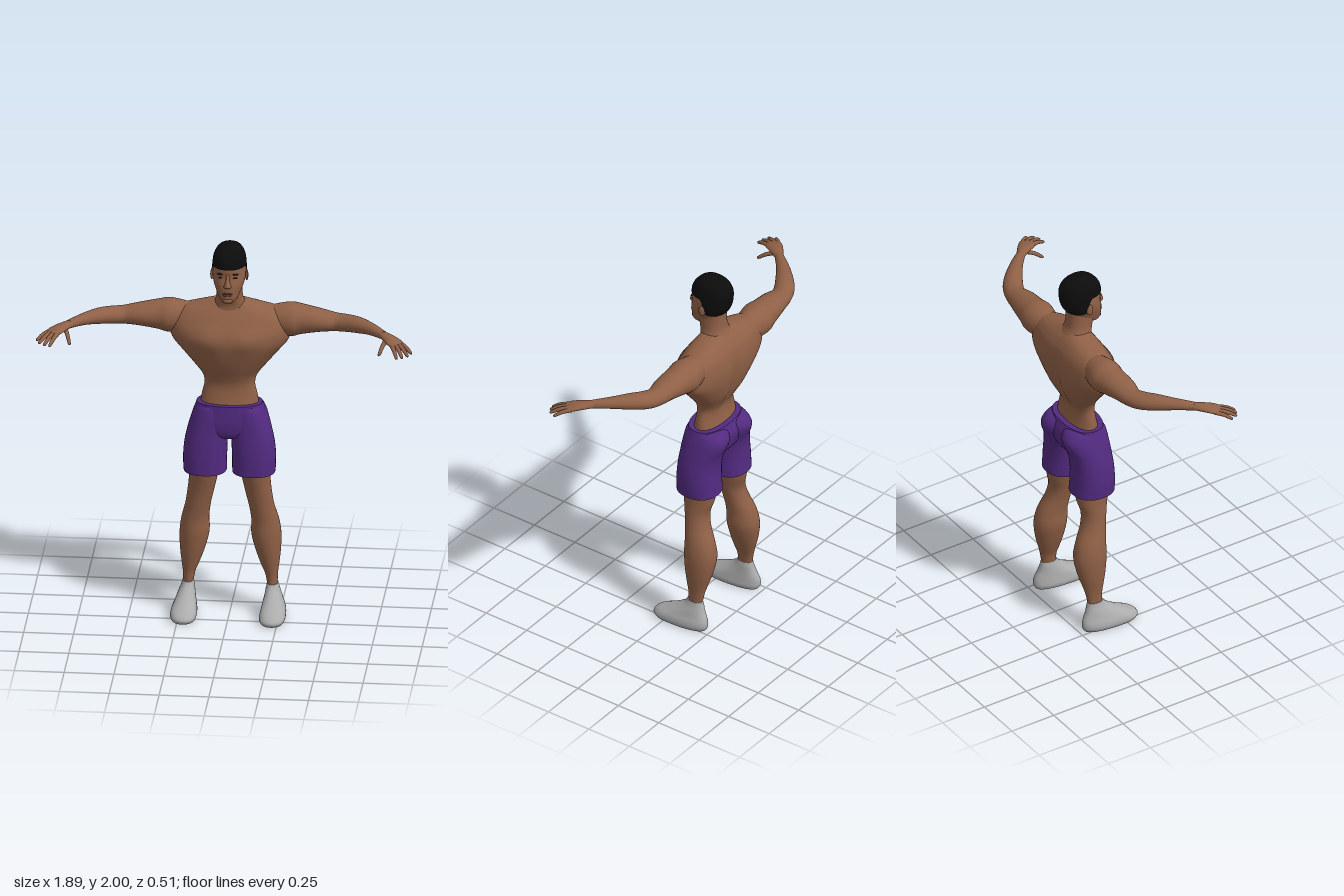
import * as THREE from 'three';

const mat = (name, color) => {
  const m = new THREE.MeshStandardMaterial({ color });
  m.name = name;
  return m;
};

// Smooth interpolation through rows of numbers, n steps per span
function spline(rows, n = 4) {
  const out = [];
  for (let i = 0; i < rows.length - 1; i++) {
    const a = rows[Math.max(i - 1, 0)], b = rows[i], c = rows[i + 1], d = rows[Math.min(i + 2, rows.length - 1)];
    for (let k = 0; k < n; k++) {
      const t = k / n;
      out.push(b.map((v, j) => v + 0.5 * t * (c[j] - a[j] + t * (2 * a[j] - 5 * v + 4 * c[j] - d[j]
        + t * (3 * (v - c[j]) + d[j] - a[j])))));
    }
  }
  out.push(rows[rows.length - 1]);
  return out;
}

// Skin a list of rings (arrays of [x, y, z]) and cap both ends
function loft(rings) {
  const n = rings[0].length, pos = rings.flat(2), idx = [];
  for (let i = 0; i < rings.length - 1; i++) {
    for (let j = 0; j < n; j++) {
      const a = i * n + j, b = i * n + (j + 1) % n;
      idx.push(a, a + n, b, b, a + n, b + n);
    }
  }
  [[rings[0], false], [rings[rings.length - 1], true]].forEach(([ring, last]) => {
    const s = pos.length / 3;
    pos.push(...ring.flat());
    for (let k = 0; k < 3; k++) pos.push(ring.reduce((t, p) => t + p[k], 0) / n);
    for (let j = 0; j < n; j++) {
      const a = s + j, b = s + (j + 1) % n;
      idx.push(s + n, ...(last ? [b, a] : [a, b]));
    }
  });
  const g = new THREE.BufferGeometry();
  g.setAttribute('position', new THREE.Float32BufferAttribute(pos, 3));
  g.setIndex(idx);
  g.computeVertexNormals();
  return g;
}

const angles = (n) => Array.from({ length: n }, (_, j) => (j / n) * Math.PI * 2);
const pw = (v, e) => Math.sign(v) * Math.abs(v) ** e;

// Point on a horizontal section; row = [y, centre x, half width, front z, back z, widest z]
function sectionPoint([y, cx, hw, zf, zb, zs], a, e) {
  const s = pw(Math.sin(a), e);
  return [cx + hw * pw(Math.cos(a), e), y, zs + s * (s > 0 ? zf - zs : zs - zb)];
}
const upright = (rows, e = 0.9, shape = (p) => p, n = 36) =>
  loft(spline(rows).map((r) => angles(n).map((a) => shape(sectionPoint(r, a, e)))));

// Limb along a path; row = [x, y, z, horizontal radius, vertical radius]
function limb(rows, n = 20) {
  const rs = spline(rows), up = new THREE.Vector3(0, 1, 0);
  const at = (i) => new THREE.Vector3(...rs[Math.min(Math.max(i, 0), rs.length - 1)].slice(0, 3));
  return loft(rs.map((r, i) => {
    const t = at(i + 1).sub(at(i - 1)).normalize();
    const h = t.clone().cross(up).normalize(), v = h.clone().cross(t);
    return angles(n).map((a) => at(i).addScaledVector(h, Math.cos(a) * r[3])
      .addScaledVector(v, Math.sin(a) * r[4]).toArray());
  }));
}

function mirrored(geo) {
  const g = geo.clone().scale(-1, 1, 1), ix = g.index.array;
  for (let i = 0; i < ix.length; i += 3) [ix[i], ix[i + 1]] = [ix[i + 1], ix[i]];
  g.computeVertexNormals();
  return g;
}

export function createModel() {
  const model = new THREE.Group();
  model.name = 'athlete';
  const skin = mat('skin', 0x8f6046), purple = mat('purple cloth', 0x522a80), white = mat('sock white', 0xacacac);
  const black = mat('hair black', 0x0c0c0c), lip = mat('lip brown', 0x6b4032), dark = mat('eye dark', 0x2c1c16);
  const add = (name, geo, m) => {
    const mesh = new THREE.Mesh(geo, m);
    mesh.name = name;
    model.add(mesh);
  };
  const pair = (name, geo, m) => {
    add(name + 'Left', geo, m);
    add(name + 'Right', mirrored(geo), m);
  };
  const blob = (x, y, z, rx, ry, rz) => new THREE.SphereGeometry(1, 16, 10).scale(rx, ry, rz).translate(x, y, z);
  const bell = (v, w) => Math.exp(-((v / w) ** 2));

  // Torso with chest muscles and a spine groove
  add('torso', upright([
    [1.1, 0, 0.15, -0.035, -0.195, -0.12], [1.18, 0, 0.14, -0.055, -0.175, -0.12],
    [1.24, 0, 0.127, -0.06, -0.175, -0.12], [1.29, 0, 0.138, -0.045, -0.2, -0.13],
    [1.35, 0, 0.185, -0.018, -0.23, -0.14], [1.42, 0, 0.245, 0.008, -0.25, -0.15],
    [1.48, 0, 0.295, 0.02, -0.258, -0.16], [1.54, 0, 0.31, 0.012, -0.257, -0.16],
    [1.6, 0, 0.3, -0.02, -0.245, -0.16], [1.64, 0, 0.25, -0.045, -0.225, -0.155],
    [1.662, 0, 0.185, -0.06, -0.21, -0.145], [1.69, 0, 0.08, -0.075, -0.185, -0.13],
  ], 0.92, ([x, y, z]) => {
    if (z > -0.12) z += 0.014 * bell(Math.abs(x) - 0.09, 0.07) * bell(y - 1.51, 0.05);
    else z += 0.018 * bell(x, 0.035) * bell(y - 1.42, 0.16);
    return [x, y, z];
  }, 48), skin);
  add('neck', upright([
    [1.62, 0, 0.1, -0.05, -0.215, -0.13], [1.67, 0, 0.082, -0.055, -0.2, -0.12],
    [1.71, 0, 0.068, -0.045, -0.18, -0.11], [1.76, 0, 0.064, -0.035, -0.175, -0.1],
    [1.82, 0, 0.064, -0.035, -0.175, -0.1],
  ]), skin);

  // Head
  const skull = [
    [1.712, 0, 0.025, -0.005, -0.05, -0.025], [1.73, 0, 0.045, 0.01, -0.09, -0.05],
    [1.77, 0, 0.064, 0.013, -0.14, -0.075], [1.81, 0, 0.078, 0.01, -0.18, -0.085],
    [1.85, 0, 0.083, 0.0, -0.2, -0.09], [1.89, 0, 0.081, 0.002, -0.207, -0.1],
    [1.93, 0, 0.076, -0.005, -0.207, -0.1], [1.96, 0, 0.064, -0.025, -0.192, -0.1],
    [1.98, 0, 0.045, -0.05, -0.165, -0.1], [1.993, 0, 0.012, -0.085, -0.115, -0.1],
  ];
  add('head', upright(skull, 0.92), skin);

  // Hair cap following the skull, with a hairline that drops behind the ears
  const dense = spline(skull, 10);
  const skullAt = (y) => {
    const i = Math.max(1, dense.findIndex((r) => r[0] >= y));
    const p = dense[i - 1], q = dense[i], t = (y - p[0]) / (q[0] - p[0]);
    return p.map((v, k) => v + (q[k] - v) * t);
  };
  const hair = [];
  for (let k = 0; k <= 18; k++) {
    const f = Math.sin((k / 18) * Math.PI / 2);
    hair.push(angles(48).map((a) => {
      const low = 1.81 + 0.087 * THREE.MathUtils.smoothstep(Math.sin(a), -0.35, 0.15);
      const y = low + (1.992 - low) * f;
      const [px, , pz] = sectionPoint(skullAt(y), a, 0.92);
      return [px * 1.06, y + 0.008 * f, -0.1 + (pz + 0.1) * 1.07];
    }));
  }
  add('hair', loft(hair), black);

  // Face
  add('nose', upright([
    [1.8, 0, 0.012, 0.018, -0.01, 0], [1.808, 0, 0.02, 0.032, -0.01, 0.004],
    [1.82, 0, 0.015, 0.033, -0.01, 0.004], [1.845, 0, 0.009, 0.018, -0.02, 0], [1.87, 0, 0.009, 0.005, -0.02, -0.01],
  ], 1, undefined, 16), skin);
  add('upperLip', blob(0, 1.771, 0.012, 0.025, 0.005, 0.006), lip);
  add('lowerLip', blob(0, 1.761, 0.012, 0.021, 0.006, 0.007), lip);
  add('chin', blob(0, 1.731, 0.002, 0.026, 0.016, 0.014), skin);
  pair('eye', blob(0.034, 1.85, -0.009, 0.014, 0.005, 0.006), dark);
  pair('eyebrow', blob(0.036, 1.87, -0.008, 0.019, 0.004, 0.007), dark);
  pair('ear', blob(0, 0, 0, 0.008, 0.031, 0.018).rotateY(0.35).translate(0.086, 1.835, -0.1), skin);

  // Arms, hands and fingers
  pair('arm', limb([
    [0.18, 1.57, -0.15, 0.06, 0.075], [0.3, 1.582, -0.152, 0.087, 0.087], [0.36, 1.585, -0.15, 0.078, 0.076],
    [0.45, 1.585, -0.142, 0.07, 0.058], [0.53, 1.58, -0.138, 0.054, 0.046], [0.59, 1.585, -0.115, 0.052, 0.043],
    [0.65, 1.594, -0.072, 0.045, 0.04], [0.72, 1.6, -0.01, 0.033, 0.03], [0.79, 1.6, 0.065, 0.022, 0.021],
  ], 28), skin);
  pair('palm', limb([
    [0.78, 1.6, 0.055, 0.022, 0.02], [0.82, 1.598, 0.1, 0.034, 0.018],
    [0.852, 1.592, 0.14, 0.042, 0.015], [0.873, 1.587, 0.163, 0.034, 0.009],
  ]), skin);
  const digits = {
    indexFinger: [0.838, 1.588, 0.162, 0.872, 1.553, 0.254],
    middleFinger: [0.855, 1.59, 0.155, 0.9, 1.555, 0.247],
    ringFinger: [0.87, 1.59, 0.145, 0.927, 1.558, 0.23],
    littleFinger: [0.878, 1.588, 0.128, 0.942, 1.56, 0.196],
    thumb: [0.805, 1.59, 0.1, 0.775, 1.54, 0.188],
  };
  for (const [name, [x, y, z, u, v, w]] of Object.entries(digits)) {
    const at = (t, lift, r) => [x + (u - x) * t, y + (v - y) * t + lift, z + (w - z) * t, r, r];
    pair(name, limb([at(0, 0, 0.012), at(0.5, 0.006, 0.0105), at(0.9, 0, 0.008), at(1, 0, 0.003)], 10), skin);
  }

  // Shorts
  add('shortsSeat', upright([
    [0.965, 0, 0.07, -0.04, -0.17, -0.11], [0.99, 0, 0.14, -0.02, -0.21, -0.11],
    [1.04, 0, 0.19, -0.013, -0.23, -0.115], [1.09, 0, 0.183, -0.015, -0.235, -0.115], [1.145, 0, 0.165, -0.02, -0.212, -0.115],
  ], 0.85), purple);
  pair('shortsLeg', upright([
    [0.775, 0.122, 0.108, 0.0, -0.225, -0.11], [0.85, 0.123, 0.11, 0.0, -0.218, -0.11],
    [0.93, 0.118, 0.108, -0.004, -0.216, -0.11], [1.0, 0.108, 0.103, -0.01, -0.228, -0.115],
    [1.05, 0.099, 0.098, -0.014, -0.249, -0.12], [1.09, 0.092, 0.092, -0.018, -0.256, -0.125],
    [1.125, 0.085, 0.083, -0.025, -0.235, -0.125], [1.142, 0.08, 0.07, -0.04, -0.2, -0.12],
  ], 0.88), purple);

  // Legs and feet
  pair('leg', upright([
    [0.8, 0.125, 0.078, -0.02, -0.215, -0.115], [0.72, 0.135, 0.07, -0.04, -0.2, -0.115],
    [0.65, 0.147, 0.066, -0.055, -0.182, -0.115], [0.58, 0.16, 0.064, -0.066, -0.195, -0.125],
    [0.5, 0.175, 0.069, -0.075, -0.232, -0.145], [0.42, 0.18, 0.075, -0.075, -0.249, -0.155],
    [0.33, 0.19, 0.063, -0.085, -0.236, -0.155], [0.25, 0.2, 0.044, -0.1, -0.213, -0.152],
    [0.2, 0.207, 0.031, -0.11, -0.2, -0.152], [0.13, 0.212, 0.025, -0.113, -0.188, -0.15],
  ].reverse(), 0.98), skin);
  pair('foot', upright([
    [0, 0.222, 0.058, 0.075, -0.22, -0.01], [0.02, 0.223, 0.066, 0.085, -0.23, -0.01],
    [0.045, 0.223, 0.062, 0.06, -0.23, -0.03], [0.07, 0.22, 0.053, 0.01, -0.222, -0.07],
    [0.1, 0.217, 0.043, -0.045, -0.208, -0.12], [0.13, 0.213, 0.034, -0.088, -0.199, -0.145],
    [0.155, 0.212, 0.028, -0.107, -0.193, -0.15],
  ], 0.9), white);
  return model;
}
